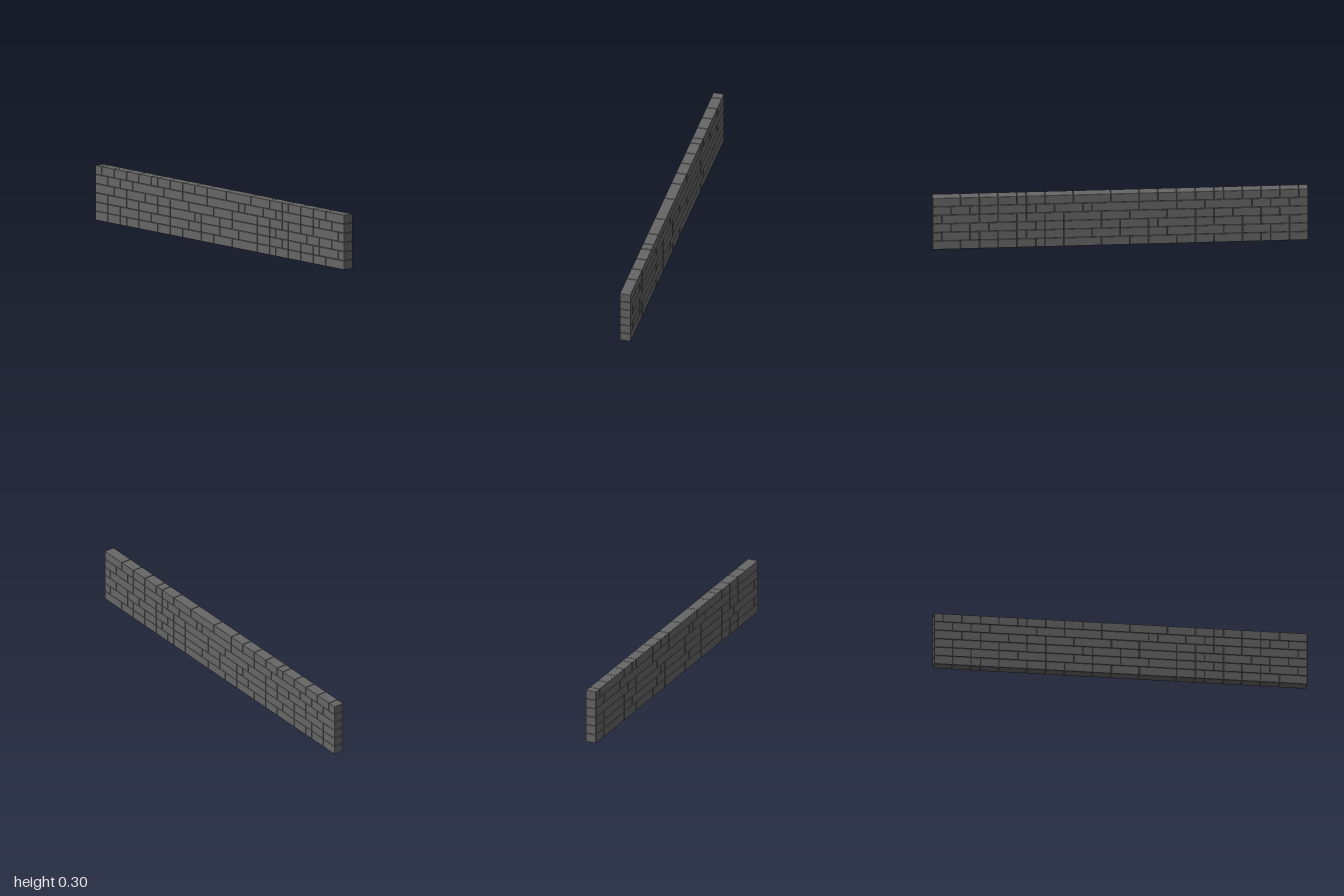
import * as THREE from 'three';
import { RoundedBoxGeometry } from 'three/addons/geometries/RoundedBoxGeometry.js';

const THICKNESS = 0.06;
const COURSE = 0.0495;
const GAP = 0.001;

// Joint positions along z for each course, bottom to top, in twentieths of a unit
const JOINTS = [
  [17, 15, 13, 11, 9, 8, 6, 2, -1, -3, -6, -8, -10, -13, -15, -16, -18],
  [19, 16, 15, 13, 11, 10, 8, 6, 3, 0, -3, -5, -8, -11, -13, -16, -18],
  [18, 16, 14, 11, 9, 8, 6, 2, 0, -3, -4, -8, -10, -13, -15, -18],
  [19, 15, 13, 11, 10, 8, 6, 2, -1, -5, -8, -10, -12, -15, -17],
  [18, 16, 15, 13, 10, 9, 7, 4, 3, -2, -6, -9, -14, -16, -18],
  [17, 15, 13, 11, 10, 8, 5, 1, -2, -4, -6, -8, -10, -11, -13, -15, -17, -19],
];

export function createModel() {
  const wall = new THREE.Group();
  wall.name = 'brickWall';
  const material = new THREE.MeshStandardMaterial({ color: 0x666666 });

  // One geometry per brick length, shared between courses
  const cache = new Map();
  const brickGeometry = (units) => {
    if (!cache.has(units)) {
      cache.set(units, new RoundedBoxGeometry(
        THICKNESS, COURSE - GAP / 2, units / 20 - GAP, 2, 0.0035));
    }
    return cache.get(units);
  };

  JOINTS.forEach((joints, row) => {
    const course = new THREE.Group();
    course.name = `course${row + 1}`;
    const edges = [20, ...joints, -20];
    for (let i = 0; i < edges.length - 1; i++) {
      const brick = new THREE.Mesh(brickGeometry(edges[i] - edges[i + 1]), material);
      brick.name = 'brick';
      brick.position.set(0, (row + 0.5) * COURSE, (edges[i] + edges[i + 1]) / 40);
      course.add(brick);
    }
    wall.add(course);
  });

  // The wall runs very slightly askew
  wall.rotation.y = -0.0035;
  const model = new THREE.Group();
  model.name = 'wall';
  model.add(wall);
  return model;
}
